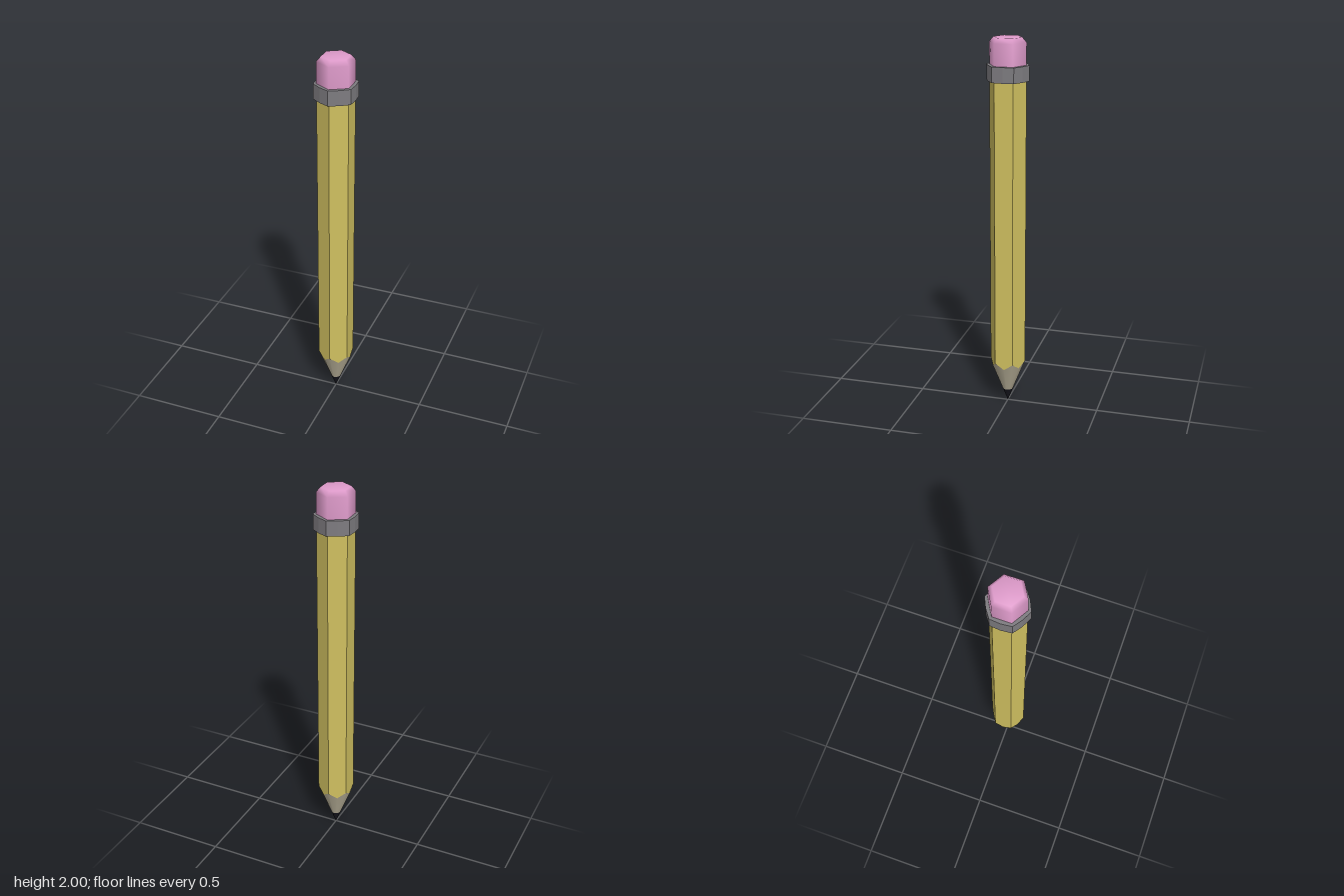
import * as THREE from 'three';

const SIDES = 12; // six corners alternating with six mid-faces

const material = (name, color) => {
  const m = new THREE.MeshStandardMaterial({ color });
  m.name = name;
  return m;
};

// Skins rings from bottom to top; each ring is [cornerRadius, cornerY, midRadius, midY].
function skin(rings, flat) {
  const positions = [], index = [];
  rings.forEach(([cr, cy, mr, my], i) => {
    for (let j = 0; j < SIDES; j++) {
      const a = (j / SIDES) * Math.PI * 2;
      const r = j % 2 ? mr : cr;
      positions.push(Math.sin(a) * r, j % 2 ? my : cy, Math.cos(a) * r);
      if (i === 0) continue;
      const k = (j + 1) % SIDES, low = (i - 1) * SIDES, high = i * SIDES;
      if (rings[i - 1][0] > 0) index.push(low + j, low + k, high + k);
      if (cr > 0) index.push(low + j, high + k, high + j);
    }
  });
  let g = new THREE.BufferGeometry();
  g.setAttribute('position', new THREE.Float32BufferAttribute(positions, 3));
  g.setIndex(index);
  if (flat) g = g.toNonIndexed();
  g.computeVertexNormals();
  return g;
}

export function createModel() {
  const group = new THREE.Group();
  group.name = 'pencil';
  const add = (name, geometry, mat) => {
    const mesh = new THREE.Mesh(geometry, mat);
    mesh.name = name;
    group.add(mesh);
  };

  const R = 0.097, A = R * Math.cos(Math.PI / 6); // hexagon corner and mid-face radii
  const cut = [R, 0.25, A, 0.217];                // scalloped edge where the cone meets the hexagon
  const leadTop = [0.028, 0.073, 0.028, 0.073];

  // Sharpened end
  add('leadTip', skin([[0, 0, 0, 0], leadTop], false), material('graphite', 0x16161e));
  add('sharpenedWood', skin([leadTop, cut], false), material('bareWood', 0xbab29a));

  // Hexagonal painted body
  add('body', skin([cut, [R, 1.82, A, 1.82]], true), material('yellowPaint', 0xd0c060));

  // Slightly bulged metal band
  add('ferrule', skin([
    [0.09, 1.782, 0.078, 1.782],
    [0.113, 1.782, 0.103, 1.782],
    [0.113, 1.862, 0.103, 1.862],
    [0.09, 1.862, 0.078, 1.862],
  ], true), material('greyMetal', 0x7e7c80));

  // Soft-shaded hexagonal eraser with a bevelled top
  const profile = [[R, 1.82], [R, 1.975], [0.075, 2], [0, 2]].map(p => new THREE.Vector2(...p));
  add('eraser', new THREE.LatheGeometry(profile, 6), material('pinkRubber', 0xe09ccc));

  return group;
}
